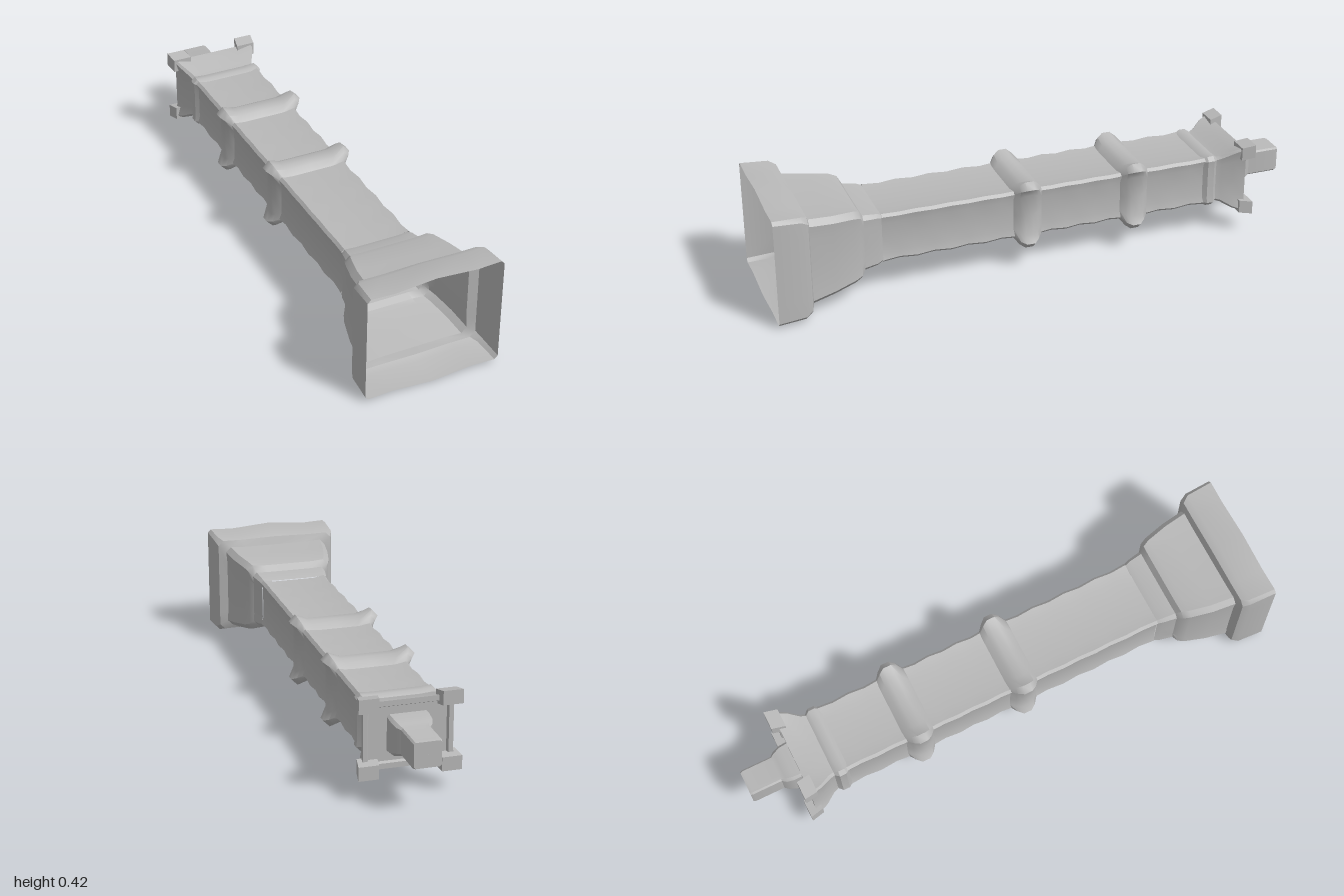
import * as THREE from 'three';
import { toCreasedNormals } from 'three/addons/utils/BufferGeometryUtils.js';

// Bevelled rectangle in the xy plane; b swells (+) or sinks (-) the middle of its sides
function section([z, hw, hh, cy, bevel, b = 0]) {
  const pts = [];
  const bx = Math.min(b, 0);
  const edge = b > 0 ? -0.5 * b : b;
  const f = 0.6;
  const sideX = (s) => pts.push(
    [s * hw, -s * (hh - bevel)], [s * (hw + bx), -s * f * hh], [s * (hw + bx), 0],
    [s * (hw + bx), s * f * hh], [s * hw, s * (hh - bevel)]);
  const sideY = (s) => pts.push(
    [s * (hw - bevel), s * hh], [s * f * hw, s * (hh + edge)], [0, s * (hh + b)],
    [-s * f * hw, s * (hh + edge)], [-s * (hw - bevel), s * hh]);
  sideX(1); sideY(1); sideX(-1); sideY(-1);
  return pts.map(([x, y]) => [x, y + cy, z]);
}

// Skin through a row of sections running from front to back
function loft(rows, crease = 0.6) {
  const rings = rows.map(section);
  const n = rings[0].length;
  const index = [];
  for (let j = 0; j < rings.length - 1; j++) {
    for (let i = 0; i < n; i++) {
      const a = j * n + i, b = j * n + (i + 1) % n;
      index.push(a, a + n, b, b, a + n, b + n);
    }
  }
  const g = new THREE.BufferGeometry();
  g.setAttribute('position', new THREE.Float32BufferAttribute(rings.flat(2), 3));
  g.setIndex(index);
  return toCreasedNormals(g, crease);
}

export function createModel() {
  const group = new THREE.Group();
  group.name = 'fallenTower';
  const stone = new THREE.MeshStandardMaterial({ color: 0xb8b8b8, side: THREE.DoubleSide });
  stone.name = 'greyStone';
  const add = (name, geometry) => {
    const mesh = new THREE.Mesh(geometry, stone);
    mesh.name = name;
    group.add(mesh);
    return mesh;
  };
  const axis = 0.215;

  // Hollow stepped foot, open at the front
  add('foot', loft([
    [1, 0.25, 0.202, 0.211, 0.012, 0.008],
    [0.9, 0.246, 0.197, 0.211, 0.014, 0.005],
    [0.875, 0.235, 0.187, 0.21, 0.02, 0.002],
    [0.865, 0.206, 0.165, 0.207, 0.02, -0.004],
    [0.78, 0.195, 0.152, 0.211, 0.02, -0.004],
    [0.7, 0.176, 0.14, 0.216, 0.02, -0.004],
    [0.675, 0.165, 0.132, 0.216, 0.02, -0.004],
    [0.66, 0.147, 0.108, 0.214, 0.015, -0.002],
    [0.61, 0.138, 0.101, 0.214, 0.012, -0.002],
    [0.59, 0.131, 0.093, axis, 0.01, -0.003],
  ]));

  // Shaft stages with gently scalloped corners
  const shaft = (name, z0, z1, steps) => {
    const rows = [];
    for (let i = 0; i <= steps; i++) {
      const swell = i % 2 ? 0 : 0.004;
      rows.push([z0 + (z1 - z0) * i / steps, 0.129 + swell, 0.091 + swell, axis, 0.01, -0.004 - swell]);
    }
    add(name, loft(rows));
  };
  shaft('lowerShaft', 0.59, 0.08, 8);
  shaft('middleShaft', 0.01, -0.33, 6);
  shaft('upperShaft', -0.41, -0.66, 4);

  // Two moulded bands with swollen corners
  for (const [name, z] of [['lowerBand', 0.045], ['upperBand', -0.37]]) {
    add(name, loft([
      [z + 0.055, 0.128, 0.092, axis, 0.01, -0.004],
      [z + 0.035, 0.153, 0.118, axis, 0.018, -0.012],
      [z + 0.015, 0.166, 0.132, axis, 0.024, -0.018],
      [z - 0.015, 0.166, 0.132, axis, 0.024, -0.018],
      [z - 0.035, 0.15, 0.116, axis, 0.018, -0.012],
      [z - 0.055, 0.128, 0.092, axis, 0.01, -0.004],
    ], 0.9));
  }

  // Neck ring and flared crown, closed by the roof plate
  add('crown', loft([
    [-0.65, 0.129, 0.092, axis, 0.01, -0.003],
    [-0.665, 0.141, 0.1, axis, 0.015, -0.003],
    [-0.69, 0.141, 0.1, axis, 0.015, -0.003],
    [-0.705, 0.127, 0.09, axis, 0.01, -0.003],
    [-0.725, 0.133, 0.096, axis, 0.01, -0.004],
    [-0.765, 0.156, 0.118, axis, 0.008, -0.01],
    [-0.81, 0.17, 0.133, axis, 0.006, -0.014],
    [-0.81, 0.14, 0.1, axis, 0.006],
    [-0.8, 0.135, 0.095, axis, 0.006],
    [-0.8, 0.001, 0.001, axis, 0],
  ]));

  // Corner merlons, leaning outwards
  for (const sx of [-1, 1]) {
    for (const sy of [-1, 1]) {
      const g = new THREE.BoxGeometry(0.07, 0.05, 0.05);
      const p = g.attributes.position;
      for (let i = 0; i < p.count; i++) {
        if (p.getZ(i) < 0) p.setXY(i, p.getX(i) + sx * 0.009, p.getY(i) + sy * 0.009);
      }
      g.computeVertexNormals();
      add('merlon', g).position.set(sx * 0.135, axis + sy * 0.108, -0.812);
    }
  }

  // Stepped spire, closed at the tip
  add('spire', loft([
    [-0.79, 0.072, 0.068, axis, 0.008],
    [-0.84, 0.07, 0.063, axis, 0.01],
    [-0.865, 0.062, 0.055, axis, 0.01],
    [-0.88, 0.05, 0.048, axis, 0.006],
    [-0.99, 0.05, 0.048, axis, 0.006],
    [-1, 0.047, 0.045, axis, 0.006],
    [-1, 0.001, 0.001, axis, 0],
  ]));

  return group;
}
